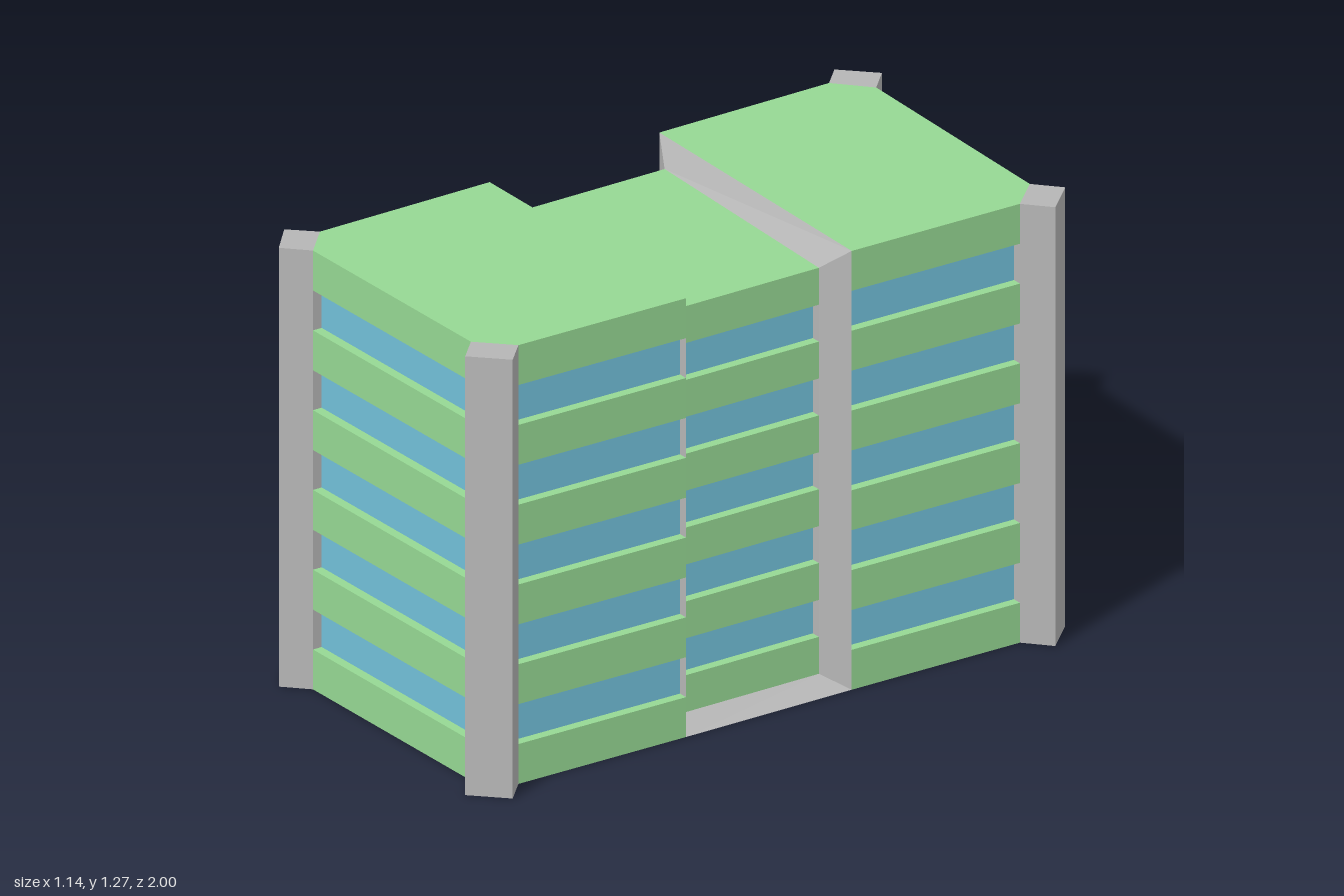
import * as THREE from 'three';

const paint = (name, color) => {
  const m = new THREE.MeshStandardMaterial({ color, side: THREE.DoubleSide });
  m.name = name;
  return m;
};

const H = 1.27;        // height of the end blocks
const BANDS = 11;      // alternating panel and window rows
const RECESS = 0.028;  // how far the glass sits back

export function createModel() {
  const green = paint('green cladding', 0x96d893);
  const gray = paint('gray concrete', 0xb6b6b6);
  const blue = paint('blue glass', 0x72c1da);
  const model = new THREE.Group();

  const at = ([x, z], y) => [x, y, z];

  // Mesh from convex polygons, each listed counterclockwise from outside
  function add(parent, name, material, polygons) {
    const pos = [];
    for (const p of polygons)
      for (let i = 1; i < p.length - 1; i++) pos.push(...p[0], ...p[i], ...p[i + 1]);
    const g = new THREE.BufferGeometry();
    g.setAttribute('position', new THREE.Float32BufferAttribute(pos, 3));
    g.computeVertexNormals();
    const mesh = new THREE.Mesh(g, material);
    mesh.name = name;
    parent.add(mesh);
  }

  const upright = (p, q, y0, y1) => [at(p, y0), at(q, y0), at(q, y1), at(p, y1)];

  // Wall from p to q: green panels with recessed rows of glass between them
  function wall(name, p, q, y0, y1) {
    const dx = q[0] - p[0], dz = q[1] - p[1], len = Math.hypot(dx, dz);
    const back = ([x, z]) => [x + (dz / len) * RECESS, z - (dx / len) * RECESS];
    const pi = back(p), qi = back(q);
    const panels = [], glass = [], jambs = [];
    for (let i = 0; i < BANDS; i++) {
      const a = y0 + ((y1 - y0) * i) / BANDS, b = y0 + ((y1 - y0) * (i + 1)) / BANDS;
      if (i % 2 === 0) {
        panels.push(upright(p, q, a, b));
      } else {
        glass.push(upright(pi, qi, a, b));
        jambs.push(upright(p, pi, a, b), upright(qi, q, a, b));
        panels.push([at(p, a), at(q, a), at(qi, a), at(pi, a)]);   // sill
        panels.push([at(pi, b), at(qi, b), at(q, b), at(p, b)]);   // soffit
      }
    }
    const group = new THREE.Group();
    group.name = name;
    add(group, 'panels', green, panels);
    add(group, 'windows', blue, glass);
    add(group, 'windowJambs', gray, jambs);
    model.add(group);
  }

  // Corner columns; first and last points meet the walls
  const FL = [[-0.505, 0.80], [-0.575, 0.865], [-0.49, 0.95], [-0.42, 0.89]];
  const FR = [[0.30, 0.925], [0.365, 0.995], [0.46, 0.91], [0.395, 0.84]];
  const BR = [[0.495, -0.765], [0.57, -0.825], [0.485, -0.925], [0.41, -0.865]];
  const BL = [[-0.33, -0.93], [-0.395, -1.0], [-0.49, -0.915], [-0.43, -0.85]];
  const columns = { frontLeftColumn: FR, frontRightColumn: FL, backLeftColumn: BR, backRightColumn: BL };
  for (const [name, c] of Object.entries(columns)) {
    const faces = c.map((p, i) => upright(p, c[(i + 1) % 4], 0, H));
    faces.push(c.map(p => at(p, H)));
    add(model, name, gray, faces);
  }

  // Notch around the lower, narrower middle: outer rim and inner rim
  const out = { rf: [0.43, 0.305], rb: [0.46, -0.228], lb: [-0.455, -0.30], lf: [-0.48, 0.25] };
  const inn = { rf: [0.355, 0.262], rb: [0.378, -0.182], lb: [-0.375, -0.255], lf: [-0.397, 0.203] };
  const LOW = 0.03, TOP = 1.205;

  // Walls
  wall('frontWall', FL[3], FR[0], 0, H);
  wall('frontLeftWall', FR[3], out.rf, 0, H);
  wall('middleLeftWall', inn.rf, inn.rb, LOW, TOP);
  wall('backLeftWall', out.rb, BR[0], 0, H);
  wall('backWall', BR[3], BL[0], 0, H);
  wall('backRightWall', BL[3], out.lb, 0, H);
  wall('middleRightWall', inn.lb, inn.lf, LOW, TOP);
  wall('frontRightWall', out.lf, FL[0], 0, H);

  // Sloped gray frame joining the middle to the end blocks
  const frame = [];
  for (const [a, b] of [['rf', 'rb'], ['lb', 'lf']]) {
    const A = out[a], B = out[b], a2 = inn[a], b2 = inn[b];
    frame.push([at(A, 0), at(B, 0), at(b2, LOW), at(a2, LOW)]);
    frame.push([at(A, 0), at(a2, LOW), at(a2, TOP), at(A, H)]);
    frame.push([at(b2, LOW), at(B, 0), at(B, H), at(b2, TOP)]);
  }
  frame.push([at(inn.lb, TOP), at(inn.rb, TOP), at(out.rb, H), at(out.lb, H)]);
  frame.push([at(out.lf, H), at(out.rf, H), at(inn.rf, TOP), at(inn.lf, TOP)]);
  add(model, 'notchFrame', gray, frame);

  // Roofs
  const roof = (pts, y) => [pts.map(p => at(p, y))];
  add(model, 'frontRoof', green, roof([FL[0], FL[3], FR[0], FR[3], out.rf, out.lf], H));
  add(model, 'middleRoof', green, roof([inn.lf, inn.rf, inn.rb, inn.lb], TOP));
  add(model, 'backRoof', green, roof([out.lb, out.rb, BR[0], BR[3], BL[0], BL[3]], H));

  return model;
}
